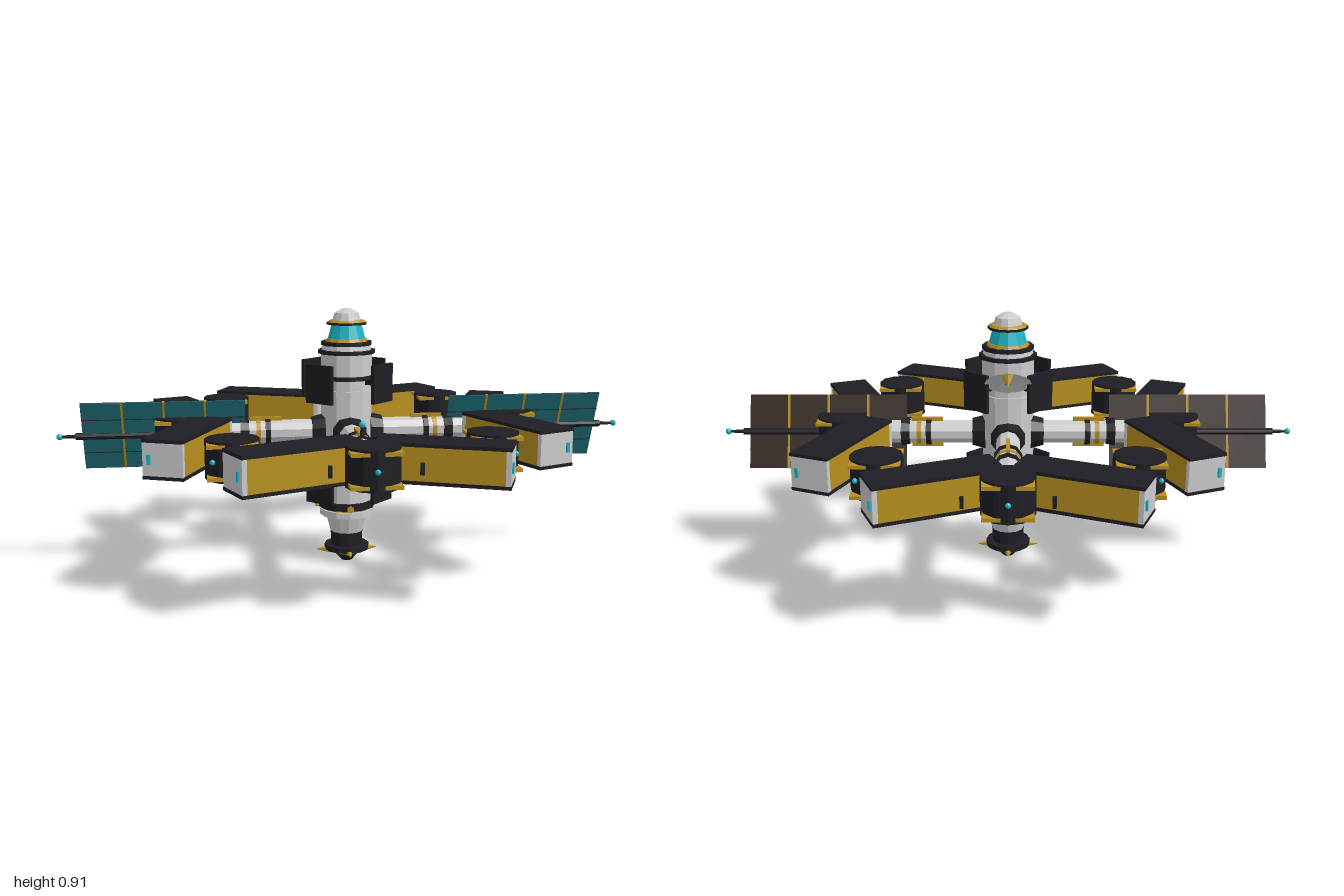
import * as THREE from 'three';

const mat = (color) => new THREE.MeshStandardMaterial({ color, flatShading: true });
const white = mat(0xd8d8d8), black = mat(0x1e1e24), gold = mat(0xb8901f);
const cyan = mat(0x18b4c4), teal = mat(0x1f6e78), brown = mat(0x33261f);
const MID = 0.482; // height of the ring plane

function add(parent, name, geo, material, x = 0, y = 0, z = 0) {
  const m = new THREE.Mesh(geo, material);
  m.name = name;
  m.position.set(x, y, z);
  parent.add(m);
  return m;
}
const box = (w, h, d) => new THREE.BoxGeometry(w, h, d);
const group = (parent, name, x = 0, y = 0, z = 0, ry = 0) => {
  const g = new THREE.Group();
  g.name = name;
  g.position.set(x, y, z);
  g.rotation.y = ry;
  parent.add(g);
  return g;
};
// cylinder lying along local z, from z0 to z1
function rodZ(parent, name, r0, r1, z0, z1, material, sides = 10) {
  const geo = new THREE.CylinderGeometry(r1, r0, z1 - z0, sides).rotateX(Math.PI / 2);
  return add(parent, name, geo, material, 0, 0, (z0 + z1) / 2);
}

function buildCore(root) {
  const core = group(root, 'core');
  // name, material, bottom y, top y, bottom radius, top radius
  const stack = [
    ['dockingTip', black, 0.005, 0.04, 0.02, 0.05],
    ['dockingRim', gold, 0.035, 0.05, 0.05, 0.058],
    ['dockingCollar', black, 0.047, 0.065, 0.08, 0.08],
    ['dockingNeck', black, 0.06, 0.115, 0.055, 0.058],
    ['lowerCone', white, 0.115, 0.18, 0.058, 0.075],
    ['lowerFlange', white, 0.178, 0.2, 0.096, 0.096],
    ['lowerGoldRing', gold, 0.198, 0.207, 0.088, 0.088],
    ['lowerBlackRing', black, 0.207, 0.232, 0.101, 0.101],
    ['hull', white, 0.23, 0.765, 0.09, 0.09],
    ['lowerBand', black, 0.325, 0.34, 0.0925, 0.0925],
    ['lowerLip', white, 0.34, 0.362, 0.096, 0.096],
    ['upperLip', white, 0.61, 0.63, 0.096, 0.096],
    ['upperBand', black, 0.665, 0.68, 0.0925, 0.0925],
    ['shoulderRing', black, 0.755, 0.768, 0.1, 0.1],
    ['shoulder', white, 0.765, 0.785, 0.088, 0.084],
    ['upperRing', black, 0.784, 0.797, 0.089, 0.089],
    ['upperGoldRing', gold, 0.797, 0.807, 0.075, 0.07],
    ['window', cyan, 0.805, 0.858, 0.066, 0.052],
    ['capRing', black, 0.855, 0.863, 0.07, 0.07],
    ['capGoldRing', gold, 0.863, 0.87, 0.067, 0.06],
    ['capCone', white, 0.868, 0.895, 0.05, 0.042],
    ['capTip', white, 0.895, 0.91, 0.042, 0.014],
  ];
  for (const [name, m, y0, y1, r0, r1] of stack)
    add(core, name, new THREE.CylinderGeometry(r1, r0, y1 - y0, 12), m, 0, (y0 + y1) / 2);

  for (let i = 0; i < 4; i++) {
    // diagonal plates on short struts, above and below the ring
    const side = group(core, 'radiator', 0, 0, 0, Math.PI / 4 + i * Math.PI / 2);
    for (const y of [0.31, 0.66]) {
      add(side, 'radiatorPlate', box(0.112, 0.132, 0.012), black, 0, y, 0.152);
      add(side, 'radiatorStrut', box(0.018, 0.018, 0.08), black, 0, y, 0.112);
    }
    // thrusters at the base
    const jet = group(core, 'thrusters', 0, 0, 0, i * Math.PI / 2);
    const a = rodZ(jet, 'baseThruster', 0.016, 0.002, 0.055, 0.108, gold, 6);
    a.position.y = 0.046;
    const b = rodZ(jet, 'sideThruster', 0.006, 0.013, 0.08, 0.112, gold, 6);
    b.position.y = 0.218;
  }

  // dish aerial behind the hull
  const dish = group(core, 'dish', 0, 0.703, -0.157);
  dish.rotation.x = 0.695;
  const bowl = new THREE.LatheGeometry([[0.001, 0.016], [0.04, 0.012], [0.078, 0]]
    .map(([x, y]) => new THREE.Vector2(x, y)), 16);
  const bowlMat = white.clone();
  bowlMat.side = THREE.DoubleSide;
  add(dish, 'dishBowl', bowl, bowlMat);
  const arm = rodZ(core, 'dishArm', 0.01, 0.01, -0.16, -0.07, black, 6);
  arm.position.y = 0.705;
  const feed = add(core, 'dishFeed', new THREE.ConeGeometry(0.02, 0.045, 6), gold, 0, 0.722, -0.21);
  feed.rotation.x = -2.4;
}

// ring compartment: gold sides, white ends, dark plates above and below
function buildSegment(root, a) {
  const r = 0.592, L = 0.42, W = 0.137;
  const seg = group(root, 'ringSegment', r * Math.sin(a), MID, r * Math.cos(a), -a);
  const outer = Math.sign(Math.cos(2 * a));
  add(seg, 'segmentSides', box(L - 0.012, 0.108, W - 0.006), gold);
  for (const s of [-1, 1]) {
    add(seg, 'segmentPlate', box(L, 0.011, W), black, 0, s * 0.058, 0);
    add(seg, 'segmentEnd', box(0.016, 0.106, W - 0.003), white, s * (L / 2 - 0.009), 0, 0);
    add(seg, 'endLight', box(0.008, 0.032, 0.011), cyan, s * (L / 2 + 0.001), 0, outer * 0.045);
  }
}

// ring hub: dark drum with the corners of gold plates showing
function buildHub(root, a) {
  const hub = group(root, 'ringHub', 0, MID, 0, a);
  const axis = Math.abs(Math.sin(2 * a)) < 0.01;
  const body = group(hub, 'hubBody', 0, 0, 0.585, axis ? 0 : -a);
  add(body, 'hubDrum', new THREE.CylinderGeometry(0.085, 0.085, 0.126, 12), black);
  for (const y of [-0.05, 0.05])
    add(body, 'hubPlate', box(0.158, 0.012, 0.158), gold, 0, y, 0);
  for (const s of [-1, 1])
    add(hub, 'hubMarker', box(0.012, 0.036, 0.012), black, s * 0.137, 0, 0.645);
  add(hub, 'hubLight', new THREE.SphereGeometry(0.009, 8, 6), cyan, 0, 0, 0.672);
}

function buildSpoke(root, a) {
  const spoke = group(root, 'spoke', 0, MID, 0, a);
  rodZ(spoke, 'spokeTube', 0.042, 0.042, 0.05, 0.52, white);
  rodZ(spoke, 'spokeRoot', 0.062, 0.05, 0.08, 0.125, black);
  rodZ(spoke, 'spokeRing', 0.049, 0.049, 0.27, 0.288, black);
  rodZ(spoke, 'spokeGoldRing', 0.045, 0.045, 0.305, 0.32, gold);
  rodZ(spoke, 'spokeOuterCollar', 0.046, 0.052, 0.345, 0.375, black);
  for (const y of [-0.046, 0.046])
    add(spoke, 'spokeRail', box(0.014, 0.014, 0.11), gold, 0, y, 0.285);
}

// solar wing along local +x, leaning forward at its top
function buildWing(root, s) {
  const wing = group(root, 'solarWing', 0, MID, 0);
  const array = group(wing, 'solarArray', s * 0.635, 0, 0);
  array.rotation.x = 0.37;
  for (let i = 0; i < 4; i++) {
    const x = (i - 1.5) * 0.14;
    add(array, 'solarFront', box(0.133, 0.26, 0.003), teal, x, 0, 0.0015);
    add(array, 'solarBack', box(0.133, 0.26, 0.003), brown, x, 0, -0.0015);
    add(array, 'solarBar', box(0.134, 0.003, 0.008), brown, x, 0.065, 0);
    add(array, 'solarBar', box(0.134, 0.003, 0.008), brown, x, -0.065, 0);
  }
  for (let i = -1; i <= 1; i++)
    add(array, 'solarFrame', box(0.008, 0.262, 0.009), gold, i * 0.14, 0, 0);
  const boom = group(wing, 'wingBoom', 0, 0, 0, s * Math.PI / 2);
  rodZ(boom, 'boomRod', 0.012, 0.012, 0.55, 0.935, black, 8);
  rodZ(boom, 'boomTip', 0.007, 0.005, 0.93, 0.982, black, 6);
  add(boom, 'boomLight', new THREE.SphereGeometry(0.011, 8, 6), cyan, 0, 0, 0.989);
}

export function createModel() {
  const root = new THREE.Group();
  root.name = 'spaceStation';
  buildCore(root);
  for (let i = 0; i < 8; i++) {
    buildHub(root, i * Math.PI / 4);
    buildSegment(root, (i + 0.5) * Math.PI / 4);
  }
  for (let i = 0; i < 4; i++) buildSpoke(root, i * Math.PI / 2);
  for (const s of [-1, 1]) buildWing(root, s);
  // beacon on the front spoke
  add(root, 'beaconMast', new THREE.CylinderGeometry(0.006, 0.008, 0.05, 6), black, 0, MID + 0.062, 0.365);
  add(root, 'beaconLight', new THREE.SphereGeometry(0.011, 8, 6), cyan, 0, 0.567, 0.365);
  return root;
}
